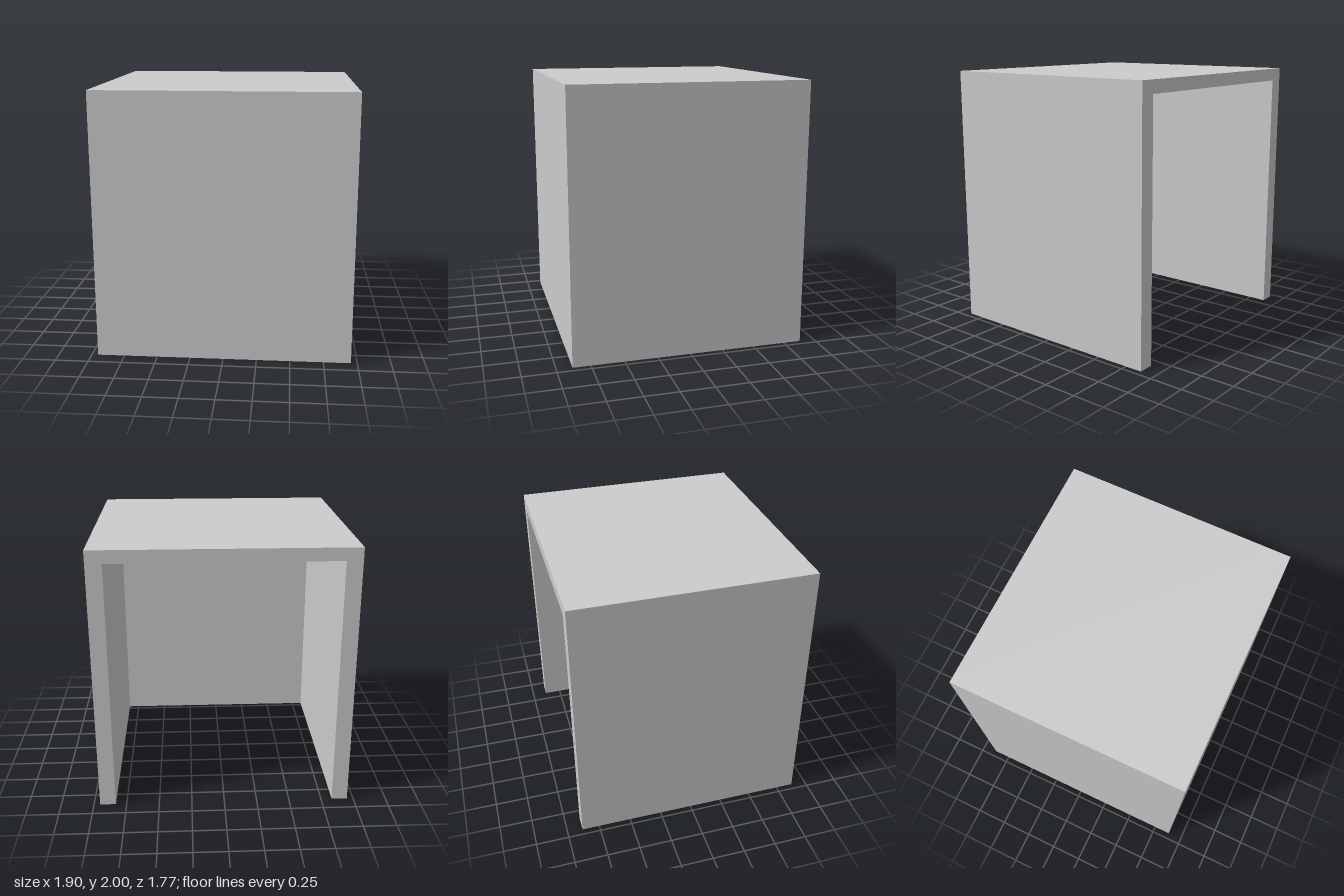
import * as THREE from 'three';

const WIDTH = 1.905, HEIGHT = 2, DEPTH = 1.767;
const SIDE = 0.119, TOP = 0.095, FRONT = 0.095;

export function createModel() {
  const group = new THREE.Group();
  group.name = 'openCover';
  const material = new THREE.MeshStandardMaterial({ color: 0xcccccc });

  // Top and both side walls: one arch profile, open below and at the back
  const w = WIDTH / 2, inner = w - SIDE, ceiling = HEIGHT - TOP;
  const profile = new THREE.Shape([
    [-w, 0], [-inner, 0], [-inner, ceiling], [inner, ceiling],
    [inner, 0], [w, 0], [w, HEIGHT], [-w, HEIGHT],
  ].map(([x, y]) => new THREE.Vector2(x, y)));
  const archGeometry = new THREE.ExtrudeGeometry(profile, { depth: DEPTH - FRONT, bevelEnabled: false });
  archGeometry.translate(0, 0, -DEPTH / 2);
  const arch = new THREE.Mesh(archGeometry, material);
  arch.name = 'topAndSideWalls';
  group.add(arch);

  // Front wall closing the arch
  const front = new THREE.Mesh(new THREE.BoxGeometry(WIDTH, HEIGHT, FRONT), material);
  front.name = 'frontWall';
  front.position.set(0, HEIGHT / 2, DEPTH / 2 - FRONT / 2);
  group.add(front);

  return group;
}
